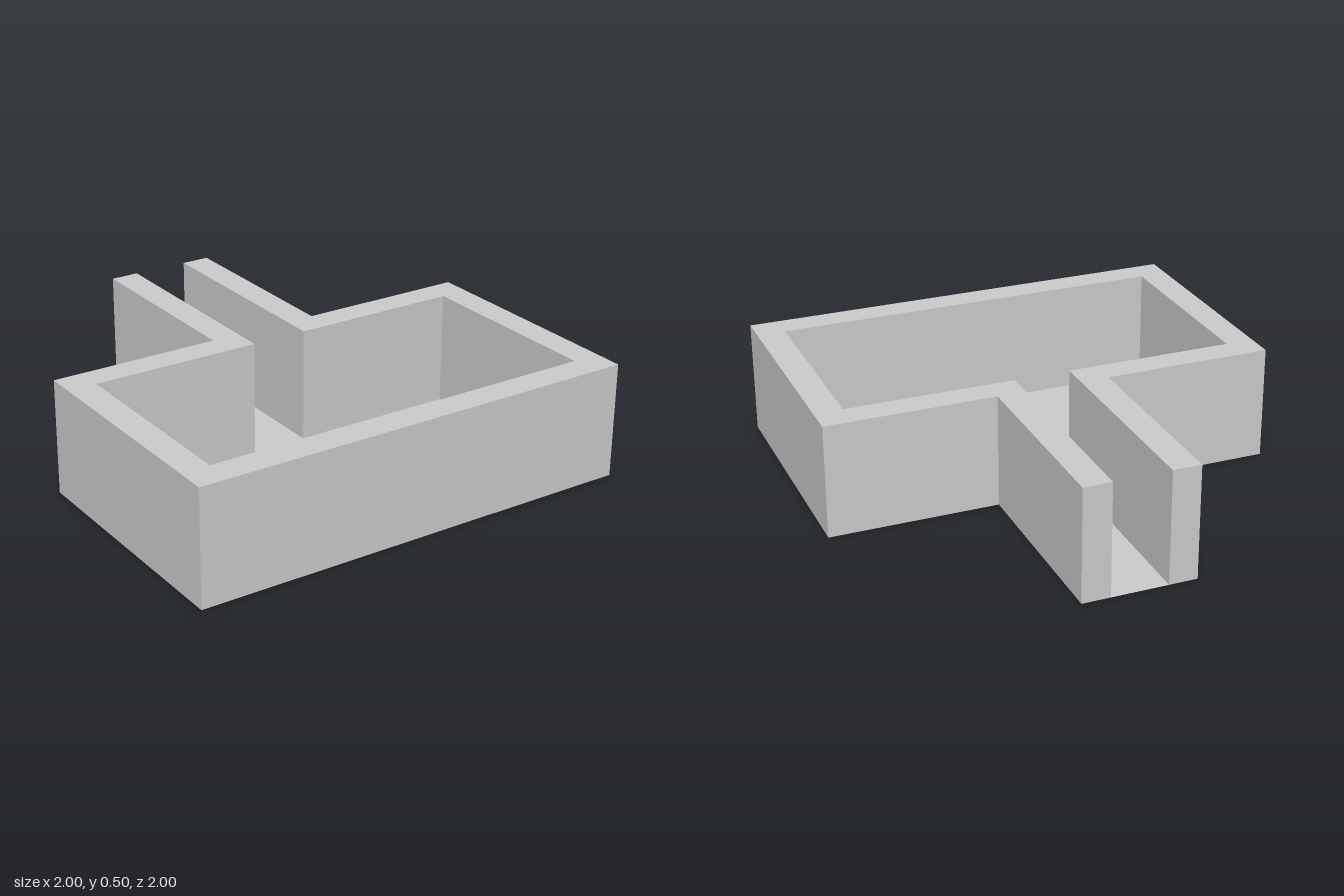
import * as THREE from 'three';

const HEIGHT = 0.505;

// Half plans as [x, z]; each is mirrored across x = 0.
const outerHalf = [[-0.25, -1], [-0.25, -0.125], [-1, -0.125], [-1, 1]];
const innerHalf = [[0.125, -1], [0.125, 0], [0.875, 0], [0.875, 0.875]];
const withMirror = (half) => [...half, ...half.map(([x, z]) => [-x, z]).reverse()];

// Flat, upward-facing sheet from a plan outline
function sheet(plan, y) {
  const shape = new THREE.Shape(plan.map(([x, z]) => new THREE.Vector2(x, -z)));
  return new THREE.ShapeGeometry(shape).rotateX(-Math.PI / 2).translate(0, y, 0);
}

// One upright panel per edge of a closed plan outline
function panels(plan, y0, y1) {
  const pos = [];
  plan.forEach(([ax, az], i) => {
    const [bx, bz] = plan[(i + 1) % plan.length];
    pos.push(ax, y0, az, bx, y0, bz, bx, y1, bz);
    pos.push(ax, y0, az, bx, y1, bz, ax, y1, az);
  });
  const geo = new THREE.BufferGeometry();
  geo.setAttribute('position', new THREE.Float32BufferAttribute(pos, 3));
  geo.computeVertexNormals();
  return geo;
}

export function createModel() {
  const group = new THREE.Group();
  group.name = 'roomWithCorridor';
  const material = new THREE.MeshStandardMaterial({
    color: 0xcccccc, flatShading: true, side: THREE.DoubleSide,
  });
  const add = (name, geometry) => {
    const mesh = new THREE.Mesh(geometry, material);
    mesh.name = name;
    group.add(mesh);
  };

  const inner = withMirror(innerHalf);
  const wallPlan = [...withMirror(outerHalf), ...inner];

  // Thick walls are hollow shells, open underneath
  add('wallSides', panels(wallPlan, 0, HEIGHT));
  add('wallTop', sheet(wallPlan, HEIGHT));

  // Floor of the room and the open-ended corridor
  add('floor', sheet(inner, 0));

  return group;
}
